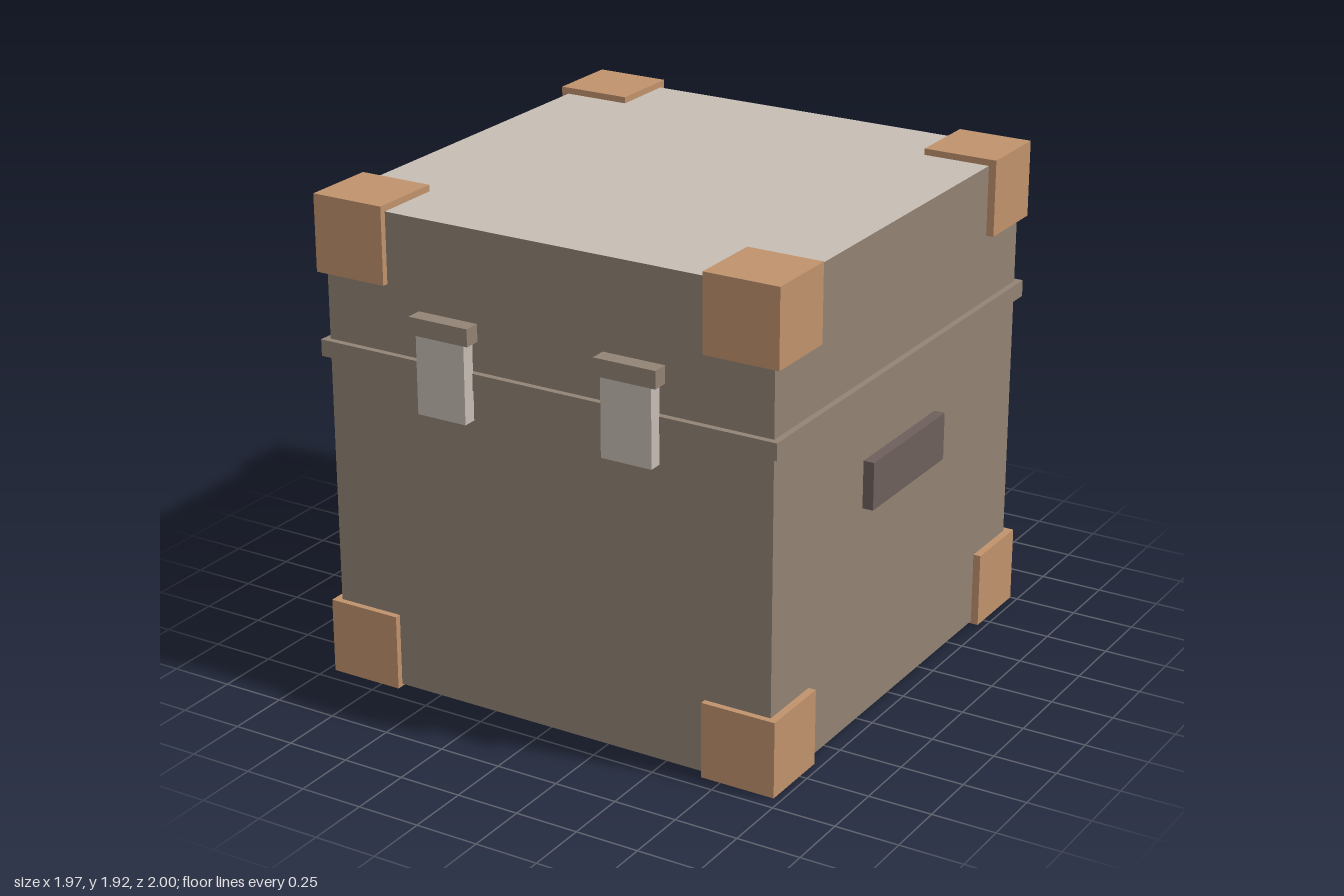
import * as THREE from 'three';

const mat = (name, color) => {
  const m = new THREE.MeshStandardMaterial({ color });
  m.name = name;
  return m;
};

export function createModel() {
  const brown = mat('taupe brown', 0x928374);
  const pale = mat('pale grey', 0xc6bdb3);
  const copper = mat('copper', 0xc0926c);
  const dark = mat('dark handle', 0x6e605c);

  const chest = new THREE.Group();
  chest.name = 'chest';

  // Box given by its lower and upper corner
  const box = (name, [x0, y0, z0], [x1, y1, z1], material, parent = chest) => {
    const mesh = new THREE.Mesh(new THREE.BoxGeometry(x1 - x0, y1 - y0, z1 - z0), material);
    mesh.position.set((x0 + x1) / 2, (y0 + y1) / 2, (z0 + z1) / 2);
    mesh.name = name;
    parent.add(mesh);
    return mesh;
  };

  // Body with pale top and bottom panels, and the lid seam band
  box('body', [-0.94, 0.01, -0.97], [0.94, 1.9, 0.915], [brown, brown, pale, pale, brown, brown]);
  box('lidBand', [-0.965, 1.297, -0.995], [0.965, 1.362, 0.94], brown);

  // Eight corner guards
  const guards = new THREE.Group();
  guards.name = 'cornerGuards';
  chest.add(guards);
  for (const x of [-0.97, 0.67])
    for (const y of [0, 1.625])
      for (const z of [-1, 0.64])
        box('cornerGuard', [x, y, z], [x + 0.3, y + 0.3, z + 0.3], copper, guards);

  for (const side of [-1, 1]) {
    const name = side > 0 ? 'left' : 'right';

    // Side handle
    const hx = side * 0.96;
    box(name + 'Handle', [hx - 0.023, 0.86, -0.308], [hx + 0.023, 1.047, 0.256], dark);

    // Front latch: hanging plate and cap bar
    const latch = new THREE.Group();
    latch.name = name + 'Latch';
    chest.add(latch);
    const lx = side * 0.392;
    box('latchPlate', [lx - 0.104, 1.18, 0.935], [lx + 0.104, 1.49, 0.99], pale, latch);
    box('latchCap', [lx - 0.127, 1.487, 0.935], [lx + 0.127, 1.555, 1], brown, latch);
  }

  return chest;
}
